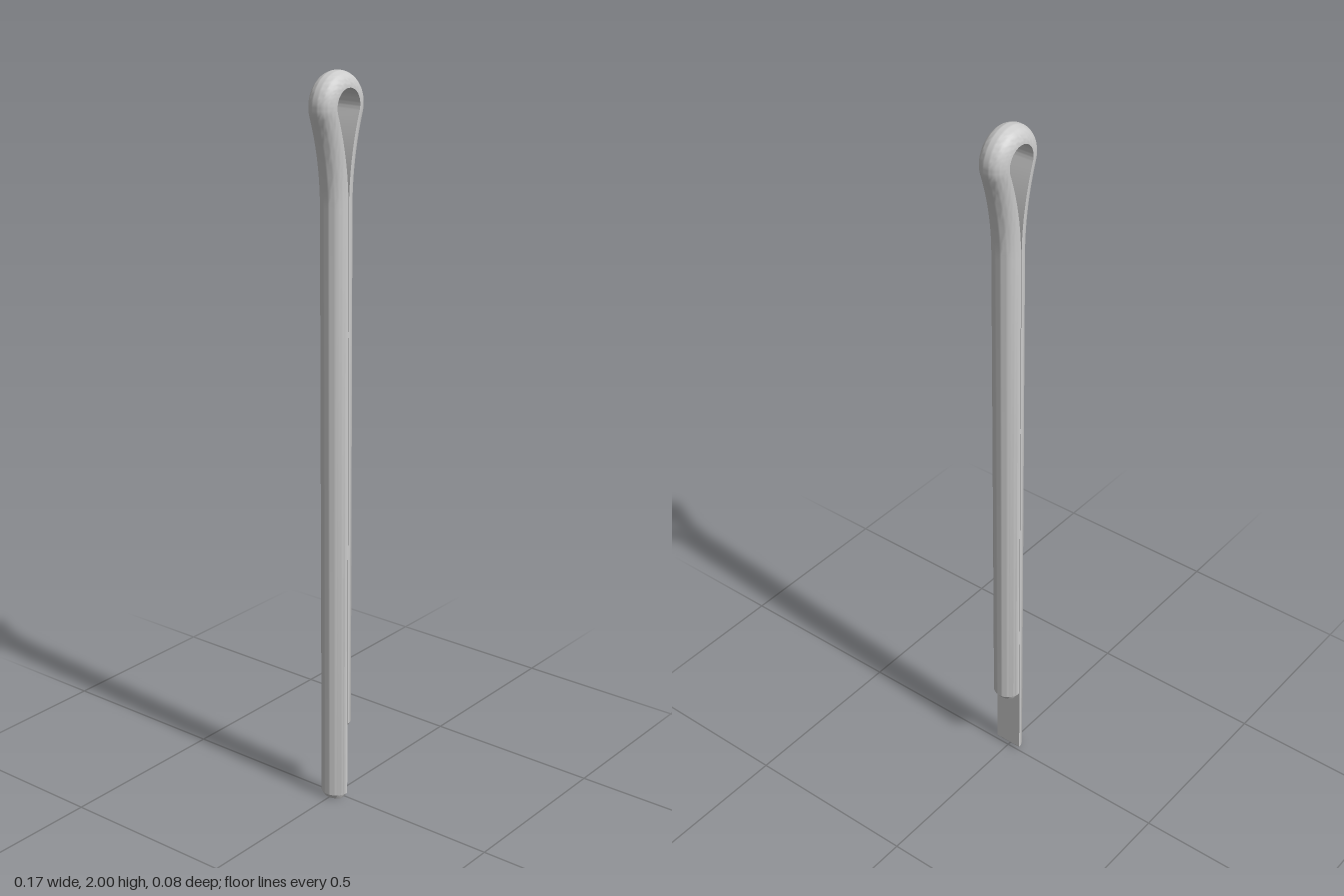
import * as THREE from 'three';
import { toCreasedNormals } from 'three/addons/utils/BufferGeometryUtils.js';

const R = 0.04;         // radius of the half-round wire
const GAP = 0.001;      // half the gap between the two legs
const EYE_R = 0.045;    // inner radius of the eye
const EYE_Y = 1.915;    // height of the eye centre
const NECK_Y = 1.66;    // where the legs start to spread
const ARC = 24;         // segments round the half circle

// One side of the wire, bottom to top: point on the flat face, outward normal, end inset
function sidePath(bottomY) {
  const h = EYE_Y - NECK_Y;
  const neckR = (h * h + GAP * GAP - EYE_R * EYE_R) / (2 * (EYE_R - GAP));
  const sweep = Math.atan2(h, neckR + GAP);
  const path = [
    { x: GAP, y: bottomY, nx: 1, ny: 0, inset: 0.01 },
    { x: GAP, y: bottomY + 0.014, nx: 1, ny: 0, inset: 0 },
  ];
  // neck curving out from the straight leg
  for (let i = 0; i <= 14; i++) {
    const t = (sweep * i) / 14, c = Math.cos(t), s = Math.sin(t);
    path.push({ x: GAP + neckR * (1 - c), y: NECK_Y + neckR * s, nx: c, ny: -s, inset: 0 });
  }
  // quarter of the eye up to the crown
  for (let i = 1; i <= 20; i++) {
    const t = -sweep + ((Math.PI / 2 + sweep) * i) / 20, c = Math.cos(t), s = Math.sin(t);
    path.push({ x: EYE_R * c, y: EYE_Y + EYE_R * s, nx: c, ny: s, inset: 0 });
  }
  return path;
}

// Sweeps the half-round section along the path and caps both ends
function sweepHalfRound(path) {
  const pos = [], index = [], n = ARC + 1;
  for (const p of path) {
    const ku = 1 - (2 * p.inset) / R, kw = 1 - p.inset / R;
    for (let j = 0; j < n; j++) {
      const a = (Math.PI * j) / ARC;
      const u = R / 2 + (R * Math.sin(a) - R / 2) * ku;
      pos.push(p.x + p.nx * u, p.y + p.ny * u, R * Math.cos(a) * kw);
    }
  }
  for (let i = 0; i < path.length - 1; i++) {
    for (let j = 0; j < n; j++) {
      const k = (j + 1) % n;
      const a = i * n + j, b = i * n + k, c = b + n, d = a + n;
      index.push(a, b, c, a, c, d);
    }
  }
  const last = (path.length - 1) * n;
  for (let j = 1; j < n - 1; j++) {
    index.push(0, j + 1, j, last, last + j, last + j + 1);
  }
  const geo = new THREE.BufferGeometry();
  geo.setAttribute('position', new THREE.Float32BufferAttribute(pos, 3));
  geo.setIndex(index);
  return toCreasedNormals(geo, Math.PI / 6);
}

export function createModel() {
  const group = new THREE.Group();
  group.name = 'splitPin';

  // short leg on +x, over the eye, down the long leg on -x
  const shortSide = sidePath(0.215);
  const longSide = sidePath(0)
    .map((p) => ({ ...p, x: -p.x, nx: -p.nx }))
    .reverse()
    .slice(1);
  const wire = new THREE.Mesh(
    sweepHalfRound([...shortSide, ...longSide]),
    new THREE.MeshStandardMaterial({ color: 0xcccccc })
  );
  wire.name = 'bentHalfRoundWire';
  group.add(wire);
  return group;
}
